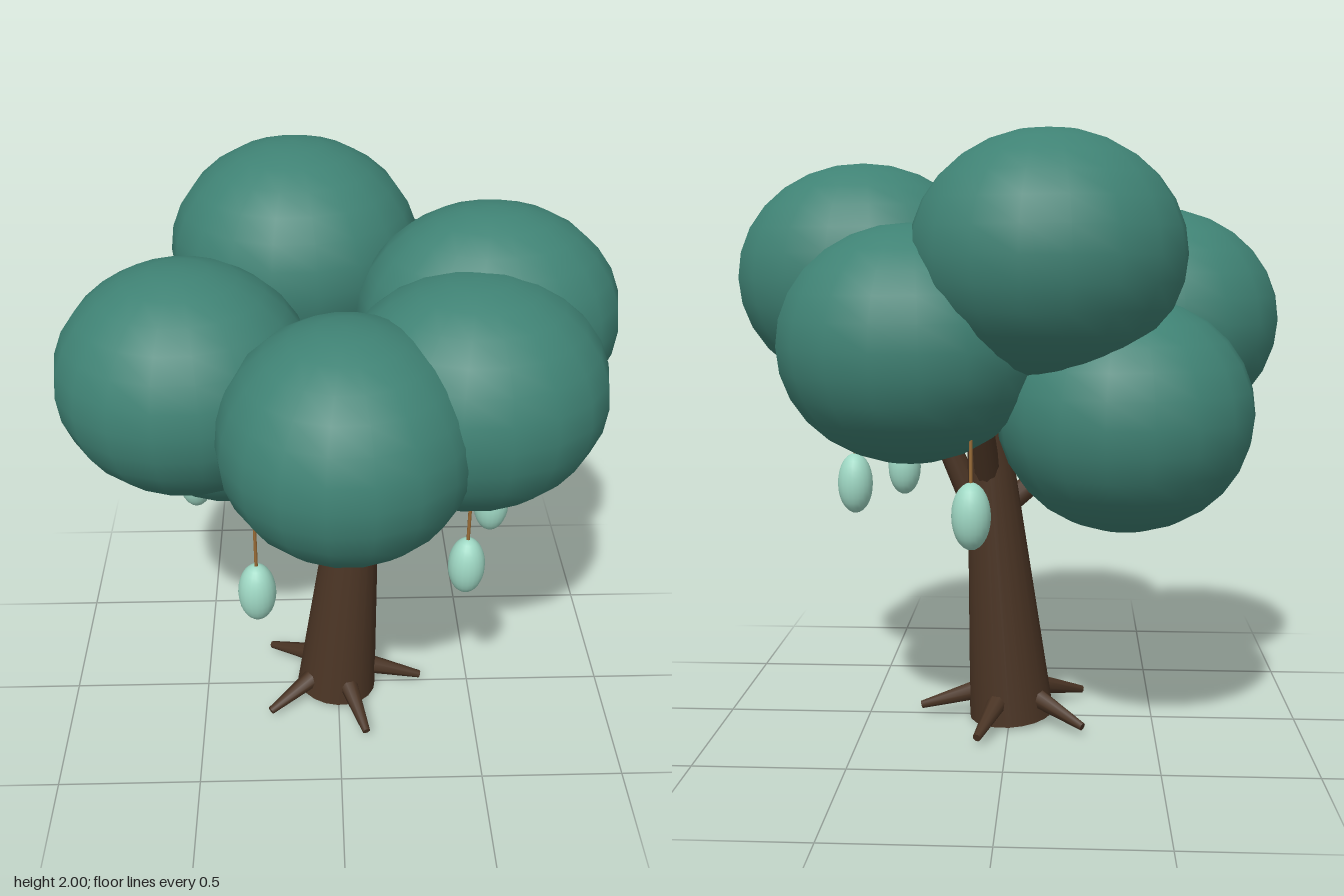
import * as THREE from 'three';

const material = (name, color) => {
  const m = new THREE.MeshStandardMaterial({ color });
  m.name = name;
  return m;
};

export function createModel() {
  const tree = new THREE.Group();
  tree.name = 'tree';
  const bark = material('bark brown', 0x4a3424);
  const leaf = material('leaf teal', 0x3f8274);
  const shell = material('pale mint', 0x9fd8c4);
  const cord = material('cord tan', 0x9a6c36);

  const add = (name, geometry, mat) => {
    const mesh = new THREE.Mesh(geometry, mat);
    mesh.name = name;
    tree.add(mesh);
    return mesh;
  };

  // Tapered limb running from point a (radius ra) to point b (radius rb)
  const limb = (name, a, b, ra, rb, sides = 10, mat = bark) => {
    const from = new THREE.Vector3(...a), to = new THREE.Vector3(...b);
    const axis = to.clone().sub(from);
    const mesh = add(name, new THREE.CylinderGeometry(rb, ra, axis.length(), sides), mat);
    mesh.position.copy(from).add(to).multiplyScalar(0.5);
    mesh.quaternion.setFromUnitVectors(new THREE.Vector3(0, 1, 0), axis.normalize());
  };

  // Leaning trunk and the branches that fork from it
  limb('trunk', [-0.005, 0.012, 0], [0.08, 1.1, -0.035], 0.148, 0.066, 20);
  limb('rightBranch', [0.09, 0.68, 0], [0.31, 1.2, -0.02], 0.048, 0.034);
  limb('frontBranch', [0.045, 0.74, 0.06], [0.045, 1.15, 0.24], 0.052, 0.036);
  limb('stubBranch', [0.02, 0.76, 0], [-0.12, 0.865, 0.05], 0.045, 0.036);
  limb('leftBranch', [0.04, 0.92, -0.02], [-0.2, 1.12, -0.06], 0.045, 0.03);
  limb('backBranch', [0.07, 0.83, -0.04], [0.09, 1.15, -0.22], 0.048, 0.034);

  // Five roots spread evenly around the base
  for (let i = 0; i < 5; i++) {
    const t = (i * Math.PI * 2) / 5;
    const c = Math.cos(t), s = Math.sin(t);
    limb('root', [0.1 * c, 0.095, 0.1 * s], [0.315 * c, 0.03, 0.315 * s], 0.037, 0.014, 8);
  }

  // Foliage clumps: centre, then radii
  const clumps = [
    [-0.135, 1.625, -0.425, 0.425, 0.375, 0.405],
    [0.485, 1.545, -0.045, 0.427, 0.375, 0.345],
    [-0.49, 1.4, 0.07, 0.422, 0.378, 0.4],
    [0.015, 1.375, 0.425, 0.398, 0.375, 0.4],
    [0.41, 1.435, 0.24, 0.425, 0.376, 0.385],
    [-0.38, 1.12, -0.295, 0.412, 0.376, 0.4],
    [0.297, 1.345, -0.36, 0.42, 0.375, 0.393],
  ];
  const clumpGeometry = new THREE.SphereGeometry(1, 18, 14);
  for (const [x, y, z, rx, ry, rz] of clumps) {
    const clump = add('foliageClump', clumpGeometry, leaf);
    clump.position.set(x, y, z);
    clump.scale.set(rx, ry, rz);
  }

  // Hanging pods on cords
  const podGeometry = new THREE.SphereGeometry(1, 20, 14);
  for (const degrees of [0, 40, 120, 199, 280]) {
    const t = THREE.MathUtils.degToRad(degrees);
    const x = 0.54 * Math.cos(t), z = 0.54 * Math.sin(t);
    const pod = add('pod', podGeometry, shell);
    pod.position.set(x, 0.833, z);
    pod.scale.set(0.061, 0.105, 0.061);
    limb('podCord', [x, 0.92, z], [x, 1.22, z], 0.006, 0.006, 6, cord);
  }

  return tree;
}
